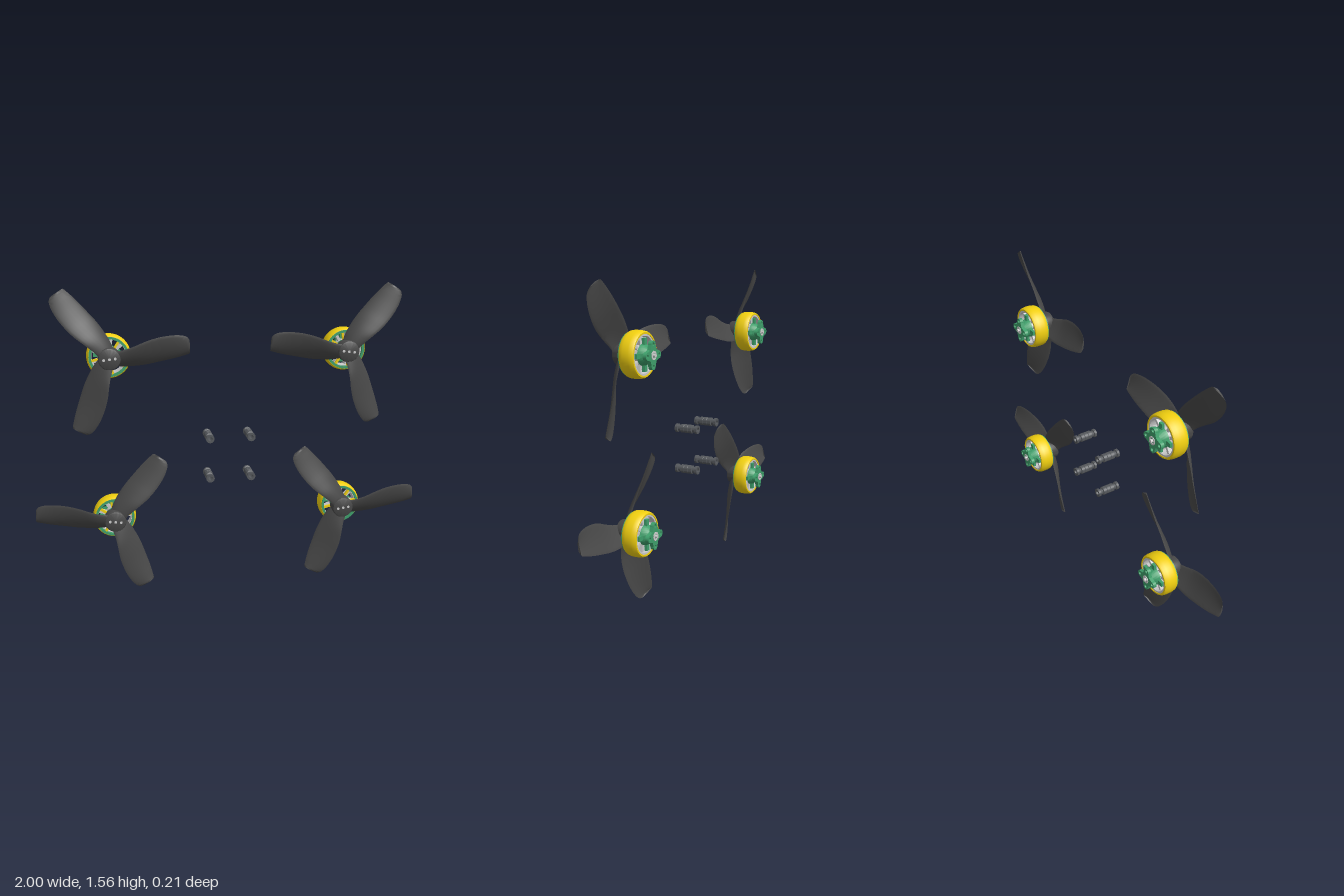
import * as THREE from 'three';
import { toCreasedNormals } from 'three/addons/utils/BufferGeometryUtils.js';

const mat = (color) => new THREE.MeshStandardMaterial({ color });
const DARK = mat(0x484848), YELLOW = mat(0xf0cf10), GREEN = mat(0x3f9f6b), STEEL = mat(0xcccccc), POST = mat(0x55585c);

function add(parent, name, geometry, material) {
  const mesh = new THREE.Mesh(geometry, material);
  mesh.name = name;
  parent.add(mesh);
  return mesh;
}

// Turned part around the z axis; profile is [radius, z], outside from back to front
function turned(profile, segments = 48) {
  const g = new THREE.LatheGeometry(profile.map(([r, z]) => new THREE.Vector2(r, z)), segments);
  return toCreasedNormals(g.rotateX(Math.PI / 2), 0.6);
}
const ring = (r0, r1, z0, z1) => turned([[r0, z0], [r1, z0], [r1, z1], [r0, z1], [r0, z0]]);
const disc = (r, z0, z1) => turned([[0, z0], [r, z0], [r, z1], [0, z1]]);

// Leading and trailing edges of a blade: x along the span, y across, z forward
const curve = (pts) => new THREE.CatmullRomCurve3(pts.map((p) => new THREE.Vector3(...p)));
const LEAD = curve([
  [0.02, 0.035, 0.085], [0.07, 0.045, 0.095], [0.12, 0.062, 0.102], [0.18, 0.085, 0.099], [0.24, 0.1, 0.091],
  [0.3, 0.107, 0.082], [0.35, 0.105, 0.073], [0.38, 0.096, 0.066], [0.394, 0.08, 0.06], [0.397, 0.06, 0.055]]);
const TRAIL = curve([
  [0.02, -0.04, 0.042], [0.07, -0.047, 0.036], [0.12, -0.047, 0.032], [0.18, -0.042, 0.031], [0.24, -0.031, 0.031],
  [0.3, -0.019, 0.033], [0.35, -0.007, 0.037], [0.38, 0.002, 0.04], [0.394, 0.007, 0.042], [0.398, 0.011, 0.043]]);

// Twisted, cambered blade lofted through thin airfoil sections; hand -1 mirrors it
function bladeGeometry(hand) {
  const rows = 36, half = 10, n = half * 2;
  const pos = [], index = [];
  const tri = (a, b, c) => (hand > 0 ? index.push(a, b, c) : index.push(a, c, b));
  for (let i = 0; i <= rows; i++) {
    const t = i / rows, lead = LEAD.getPoint(t), trail = TRAIL.getPoint(t);
    const span = lead.clone().sub(trail);
    const normal = new THREE.Vector3(0, -span.z, span.y).normalize();
    const thick = 0.006 * (1 - t) + 0.0015;
    for (let j = 0; j < n; j++) {
      const a = (j / n) * Math.PI * 2;
      const u = (1 - Math.cos(a)) / 2;
      const lift = Math.sin(a) * thick + 4 * u * (1 - u) * 0.009;
      const p = lead.clone().lerp(trail, u).addScaledVector(normal, lift);
      pos.push(p.x * hand, p.y, p.z);
    }
  }
  for (let i = 0; i < rows; i++) {
    for (let j = 0; j < n; j++) {
      const a = i * n + j, b = i * n + (j + 1) % n;
      tri(a, b, a + n);
      tri(b, b + n, a + n);
    }
  }
  for (let j = 1; j < n - 1; j++) tri(rows * n, rows * n + j, rows * n + j + 1);
  const g = new THREE.BufferGeometry();
  g.setAttribute('position', new THREE.Float32BufferAttribute(pos, 3));
  g.setIndex(index);
  return toCreasedNormals(g, 0.9);
}

function propeller(hand) {
  const prop = new THREE.Group();
  prop.name = 'propeller';
  const geometry = bladeGeometry(hand);
  for (let k = 0; k < 3; k++) {
    add(prop, 'blade', geometry, DARK).rotation.z = (k * Math.PI * 2) / 3;
  }
  add(prop, 'propellerHub', turned([[0, 0.028], [0.048, 0.028], [0.055, 0.036], [0.055, 0.086], [0.052, 0.092], [0.046, 0.095], [0, 0.095]]), DARK);
  // Shaft end with a screw on either side
  for (const x of [-0.028, 0, 0.028]) {
    add(prop, 'hubScrew', disc(0.007, 0.09, 0.0965), STEEL).position.set(x, x * 0.12 * hand, 0);
  }
  return prop;
}

// Four-armed mounting plate with a screw hole in each arm
function mountGeometry() {
  const shape = new THREE.Shape();
  for (let k = 0; k < 4; k++) {
    const a = (k * Math.PI) / 2;
    shape.absarc(Math.cos(a) * 0.048, Math.sin(a) * 0.048, 0.018, a - Math.PI / 2, a + Math.PI / 2, false);
    const b = a + Math.PI / 4;
    shape.lineTo(Math.cos(b) * 0.036, Math.sin(b) * 0.036);
    const hole = new THREE.Path();
    hole.absarc(Math.cos(a) * 0.05, Math.sin(a) * 0.05, 0.008, 0, Math.PI * 2, true);
    shape.holes.push(hole);
  }
  const g = new THREE.ExtrudeGeometry(shape, { depth: 0.018, bevelEnabled: false, curveSegments: 14 });
  return g.translate(0, 0, -0.094);
}

function motor() {
  const m = new THREE.Group();
  m.name = 'motor';
  // Barrel-shaped bell, open at both ends
  add(m, 'bell', turned([
    [0.094, -0.05], [0.102, -0.05], [0.107, -0.043], [0.11, -0.025], [0.11, 0.003], [0.107, 0.018],
    [0.102, 0.026], [0.094, 0.028], [0.094, -0.05]]), YELLOW);
  add(m, 'magnetRing', ring(0.085, 0.094, -0.047, 0.012), STEEL);
  // Spoked front of the bell
  add(m, 'frontRim', ring(0.088, 0.1, 0.016, 0.031), GREEN);
  add(m, 'frontBoss', disc(0.05, 0.012, 0.034), GREEN);
  for (let k = 0; k < 8; k++) {
    const a = (k * Math.PI) / 4 + 0.2;
    const spoke = add(m, 'spoke', new THREE.BoxGeometry(0.05, 0.011, 0.012), YELLOW);
    spoke.position.set(Math.cos(a) * 0.07, Math.sin(a) * 0.07, 0.022);
    spoke.rotation.z = a;
  }
  // Stator core with teeth
  add(m, 'statorCore', disc(0.046, -0.04, 0.008), STEEL);
  for (let k = 0; k < 9; k++) {
    const a = (k * Math.PI * 2) / 9;
    const tooth = add(m, 'statorTooth', new THREE.BoxGeometry(0.045, 0.014, 0.036), STEEL);
    tooth.position.set(Math.cos(a) * 0.06, Math.sin(a) * 0.06, -0.016);
    tooth.rotation.z = a;
  }
  // Base, mounting plate and shaft end
  add(m, 'baseNeck', turned([[0, -0.085], [0.03, -0.085], [0.036, -0.07], [0.046, -0.055], [0.05, -0.038], [0, -0.038]]), GREEN);
  for (let k = 0; k < 4; k++) {
    const a = (k * Math.PI) / 2;
    const arm = add(m, 'baseArm', new THREE.BoxGeometry(0.04, 0.022, 0.014), GREEN);
    arm.position.set(Math.cos(a) * 0.056, Math.sin(a) * 0.056, -0.047);
    arm.rotation.z = a;
  }
  add(m, 'mountPlate', mountGeometry(), GREEN);
  add(m, 'bearingRing', ring(0.012, 0.021, -0.097, -0.09), STEEL);
  add(m, 'shaftEnd', disc(0.008, -0.106, -0.07), STEEL);
  return m;
}

// Hollow rubber spacer with end collars and a grooved middle
function spacerGeometry() {
  const outer = [
    [0.011, -0.062], [0.022, -0.062], [0.022, -0.049], [0.016, -0.046], [0.016, -0.034], [0.022, -0.031],
    [0.022, -0.013], [0.0205, -0.011], [0.022, -0.009]];
  const front = outer.map(([r, z]) => [r, -z]).reverse();
  return turned([...outer, ...front, outer[0]], 28).translate(0, 0, 0.003);
}

export function createModel() {
  const model = new THREE.Group();
  model.name = 'rotorSet';
  const spacer = spacerGeometry();
  for (const side of [-1, 1]) {
    for (const [y, spin] of [[1.221, -1], [0.379, 1]]) {
      const unit = new THREE.Group();
      unit.name = 'rotorUnit';
      unit.add(motor(), propeller(side * spin));
      unit.position.set(side * 0.602, y, 0);
      model.add(unit);
    }
    for (const y of [0.575, 0.787]) add(model, 'spacer', spacer, POST).position.set(side * 0.107, y, 0);
  }
  return model;
}
